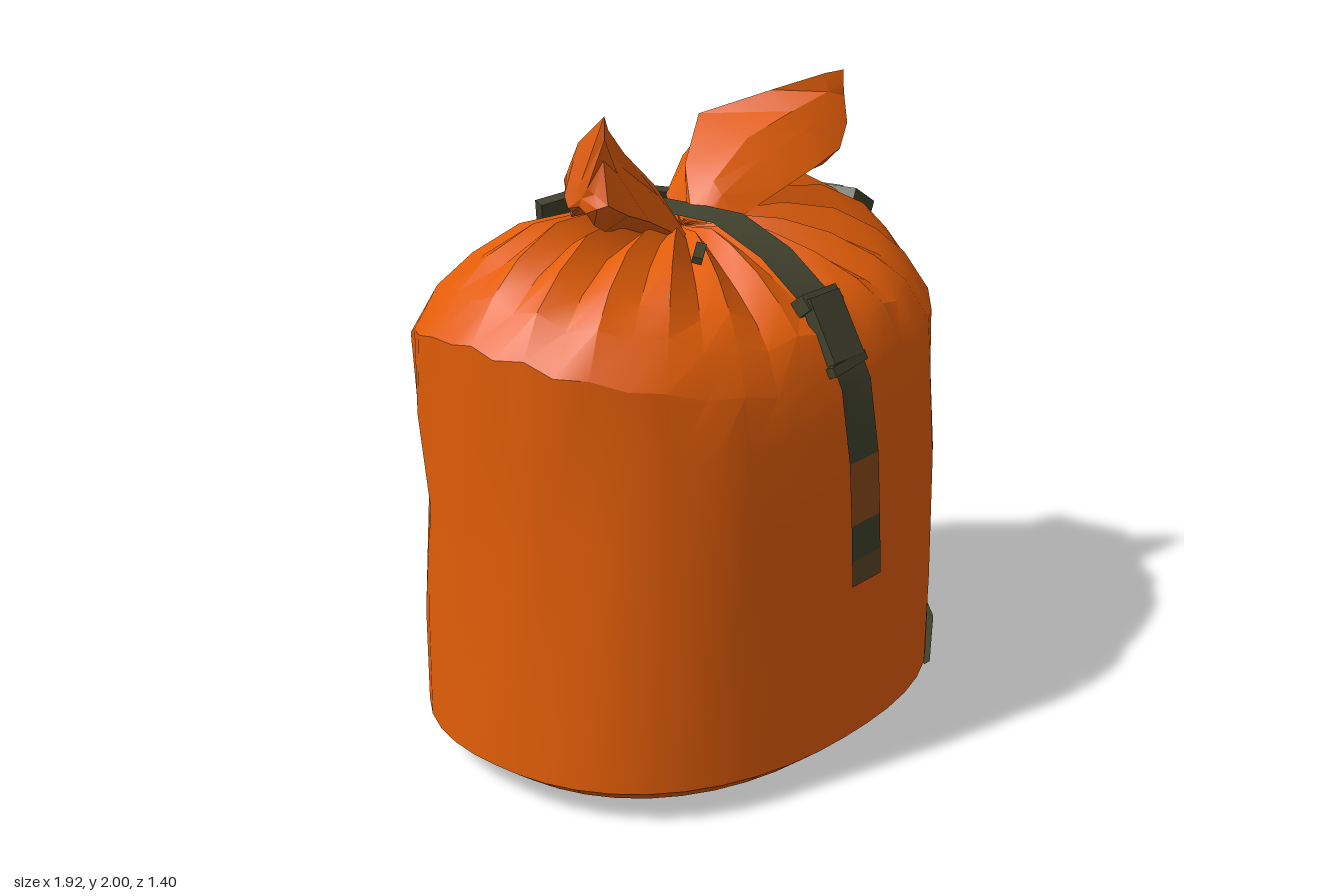
import * as THREE from 'three';
import { toCreasedNormals } from 'three/addons/utils/BufferGeometryUtils.js';

const fabric = new THREE.MeshStandardMaterial({ name: 'orange fabric', color: 0xe25d08, side: THREE.DoubleSide });
const webbing = new THREE.MeshStandardMaterial({ name: 'olive webbing', color: 0x41422e, side: THREE.DoubleSide });
const worn = new THREE.MeshStandardMaterial({ name: 'worn webbing', color: 0x8c4a1a, side: THREE.DoubleSide });
const faded = new THREE.MeshStandardMaterial({ name: 'faded webbing', color: 0x5f4526, side: THREE.DoubleSide });

let seed = 11;
const rand = () => (seed = (seed * 16807) % 2147483647) / 2147483647;
const lerp = THREE.MathUtils.lerp;

function build(points, index, crease) {
  const g = new THREE.BufferGeometry();
  g.setAttribute('position', new THREE.Float32BufferAttribute(points.flat(), 3));
  g.setIndex(index);
  return toCreasedNormals(g, crease);
}

// Skin over closed cross-sections of equal length, capped at both ends
function loft(rings, crease) {
  const n = rings[0].length, last = rings.length - 1;
  const points = rings.flat(), index = [];
  const middle = (r) => [0, 1, 2].map((k) => r.reduce((t, p) => t + p[k], 0) / n);
  const start = points.push(middle(rings[0])) - 1;
  const end = points.push(middle(rings[last])) - 1;
  for (let j = 0; j < n; j++) {
    const k = (j + 1) % n;
    for (let i = 0; i < last; i++) {
      const a = i * n + j, b = i * n + k;
      index.push(a, a + n, b, b, a + n, b + n);
    }
    index.push(start, j, k, end, last * n + k, last * n + j);
  }
  return build(points, index, crease);
}

// Flat band between two edges
function ribbon(left, right) {
  const points = [], index = [];
  left.forEach((p, i) => {
    points.push(p, right[i]);
    const a = i * 2;
    if (i) index.push(a - 2, a - 1, a, a - 1, a + 1, a);
  });
  return build(points, index, 0.6);
}

function bodyGeometry() {
  const n = 46, rings = [];
  const pleat = Array.from({ length: n }, (_, j) => (j % 2 ? 0.2 * rand() : 0.3 + 0.7 * rand()));
  const ring = ([x0, x1, z0, z1], scale, wobble, height) => {
    const r = [];
    for (let j = 0; j < n; j++) {
      const t = (j / n) * Math.PI * 2, c = Math.cos(t), s = Math.sin(t);
      const k = scale / Math.pow(Math.abs(c) ** 2.3 + Math.abs(s) ** 2.3, 1 / 2.3) * (1 + wobble * (rand() - 0.5));
      r.push([(x0 + x1) / 2 + c * k * (x1 - x0) / 2, height(c, j), (z0 + z1) / 2 + s * k * (z1 - z0) / 2]);
    }
    rings.push(r);
  };
  // sides: height and extents left, right, back, front
  [
    [0, -0.72, 0.55, -0.55, 0.48], [0.03, -0.87, 0.66, -0.64, 0.6], [0.1, -0.96, 0.74, -0.69, 0.685],
    [0.4, -0.955, 0.755, -0.685, 0.68], [0.8, -0.95, 0.76, -0.655, 0.665], [1.08, -0.955, 0.77, -0.675, 0.64],
  ].forEach(([y, ...e], i) => ring(e, 1, i > 2 ? 0.016 : 0, () => y));
  // gathered top: scale, height at front and back, height at the sides, pleat depth
  [
    [1, 1.23, 1.39, 0.03], [0.9, 1.36, 1.51, 0.05], [0.78, 1.43, 1.6, 0.07], [0.6, 1.5, 1.67, 0.085],
    [0.4, 1.555, 1.67, 0.085], [0.25, 1.58, 1.62, 0.06], [0.1, 1.56, 1.56, 0.02],
  ].forEach(([s, front, side, depth]) => ring([-0.965, 0.79, -0.675, 0.615], s, 0.02, (c, j) =>
    lerp(front, side, Math.abs(c) ** 2.3) - depth * pleat[j] - (c > 0 ? 0.06 * c * s : 0)));
  return loft(rings, 0.45);
}

// Flared end of the gathered cloth; sections are x, low, high, back, front, ridge
function earGeometry(sections) {
  const rings = sections.map(([x, lo, hi, zb, zf, ridge]) => {
    const y = (t) => lerp(lo, hi, t), z = (t) => lerp(zb, zf, t), e = () => (rand() - 0.5) * 0.03;
    return [
      [x, hi, ridge], [x, y(0.72), Math.min(ridge, z(0.3))], [x + e(), y(0.42), zb], [x + e(), y(0.08), z(0.15)],
      [x, y(0.16), z(0.4)], [x, lo, z(0.62)], [x + e(), y(0.22), zf], [x + e(), y(0.6), z(0.82)],
      [x, y(0.8), Math.max(ridge, z(0.68))],
    ];
  });
  if (sections[0][0] > sections[1][0]) rings.forEach((r) => r.reverse());
  return loft(rings, 0.3);
}

export function createModel() {
  const group = new THREE.Group();
  group.name = 'gatheredBag';
  const add = (name, geometry, material, position = [0, 0, 0], rotation = [0, 0, 0]) => {
    const m = new THREE.Mesh(geometry, material);
    m.name = name;
    m.position.set(...position);
    m.rotation.set(...rotation);
    group.add(m);
  };
  const box = (...s) => new THREE.BoxGeometry(...s);

  add('body', bodyGeometry(), fabric);

  // tied cloth ends on either side of the strap
  add('rightEar', earGeometry([
    [-0.15, 1.48, 1.6, -0.07, 0.07, 0], [-0.24, 1.54, 1.71, -0.15, 0.1, 0], [-0.42, 1.61, 1.84, -0.18, 0.15, 0.05],
    [-0.56, 1.65, 1.94, -0.06, 0.2, 0.12], [-0.64, 1.69, 2.0, 0.03, 0.2, 0.18], [-0.67, 1.73, 1.82, 0.06, 0.18, 0.12],
  ]), fabric);
  add('leftEar', earGeometry([
    [-0.03, 1.48, 1.6, -0.1, 0.06, -0.04], [0.04, 1.52, 1.7, -0.19, 0.08, -0.12], [0.2, 1.57, 1.82, -0.27, 0.12, -0.2],
    [0.36, 1.61, 1.89, -0.16, 0.14, -0.04], [0.48, 1.65, 1.94, -0.04, 0.15, 0.08], [0.52, 1.74, 1.95, 0.02, 0.14, 0.12],
  ]), fabric);

  // strap over the top, as height, depth and optional sideways centre
  const across = (pts) => ribbon(pts.map(([y, z, x = -0.1]) => [x - 0.07, y, z]), pts.map(([y, z, x = -0.1]) => [x + 0.07, y, z]));
  add('fadedStrapEnd', across([[0.6, 0.7], [0.68, 0.697]]), faded);
  add('strapTail', across([[0.68, 0.697], [0.79, 0.692]]), webbing);
  add('wornStrapPatch', across([[0.79, 0.692], [0.98, 0.68]]), worn);
  add('topStrap', across([
    [0.98, 0.68], [1.2, 0.645], [1.38, 0.555], [1.53, 0.34, -0.09], [1.6, 0.15, -0.08], [1.6, 0, -0.08], [1.6, -0.2, -0.09],
    [1.53, -0.36], [1.4, -0.58], [1.2, -0.695], [0.9, -0.69], [0.6, -0.7],
  ]), webbing);

  // front buckle, lying against the shoulder
  add('buckle', box(0.14, 0.2, 0.04), webbing, [-0.1, 1.35, 0.555], [-0.5, 0, 0]);
  add('buckleBar', box(0.16, 0.05, 0.05), webbing, [-0.1, 1.42, 0.5], [-0.7, 0, 0]);
  add('buckleFoot', box(0.16, 0.03, 0.04), webbing, [-0.1, 1.25, 0.605], [-0.4, 0, 0.1]);

  // loose carrying strap hanging down the left side: front edge, then back edge
  add('sideStrap', loft([
    [[0.68, 1.5, -0.02], [0.7, 1.51, -0.22]], [[0.81, 1.42, -0.01], [0.81, 1.42, -0.23]],
    [[0.83, 1.25, -0.05], [0.82, 1.25, -0.23]], [[0.87, 1, -0.065], [0.845, 1, -0.21]],
    [[0.955, 0.6, -0.07], [0.91, 0.6, -0.18]], [[0.95, 0.42, -0.01], [0.91, 0.4, -0.12]],
    [[0.92, 0.21, 0.13], [0.89, 0.2, 0.01]], [[0.8, 0.04, 0.35], [0.79, 0.06, 0.21]],
    [[0.56, 0.01, 0.5], [0.62, 0.02, 0.36]],
  ].map(([a, b]) => [a, b, [b[0] - 0.03, b[1], b[2]], [a[0] - 0.03, a[1], a[2]]]), 0.6), webbing);
  add('sideClasp', box(0.15, 0.04, 0.28), webbing, [0.71, 1.48, -0.08], [0, 0.15, -0.5]);
  add('sideClaspBar', box(0.05, 0.05, 0.22), webbing, [0.67, 1.5, -0.1], [0, 0.15, -0.5]);

  // small webbing tabs
  add('sideTab', box(0.05, 0.07, 0.07), webbing, [0.725, 0.455, -0.25], [0, 0.2, 0]);
  add('sideTabEnd', box(0.04, 0.05, 0.05), worn, [0.725, 0.395, -0.25], [0, 0.2, 0]);
  add('rightTopTab', box(0.23, 0.07, 0.04), webbing, [-0.33, 1.63, -0.24], [0.2, -0.3, 0.2]);
  add('leftTopTab', box(0.2, 0.07, 0.04), webbing, [0.06, 1.56, -0.32], [0.3, -0.6, 0]);
  add('frontTopTab', box(0.1, 0.02, 0.03), webbing, [-0.33, 1.565, 0.25], [0.3, 0.6, 0]);

  return group;
}
